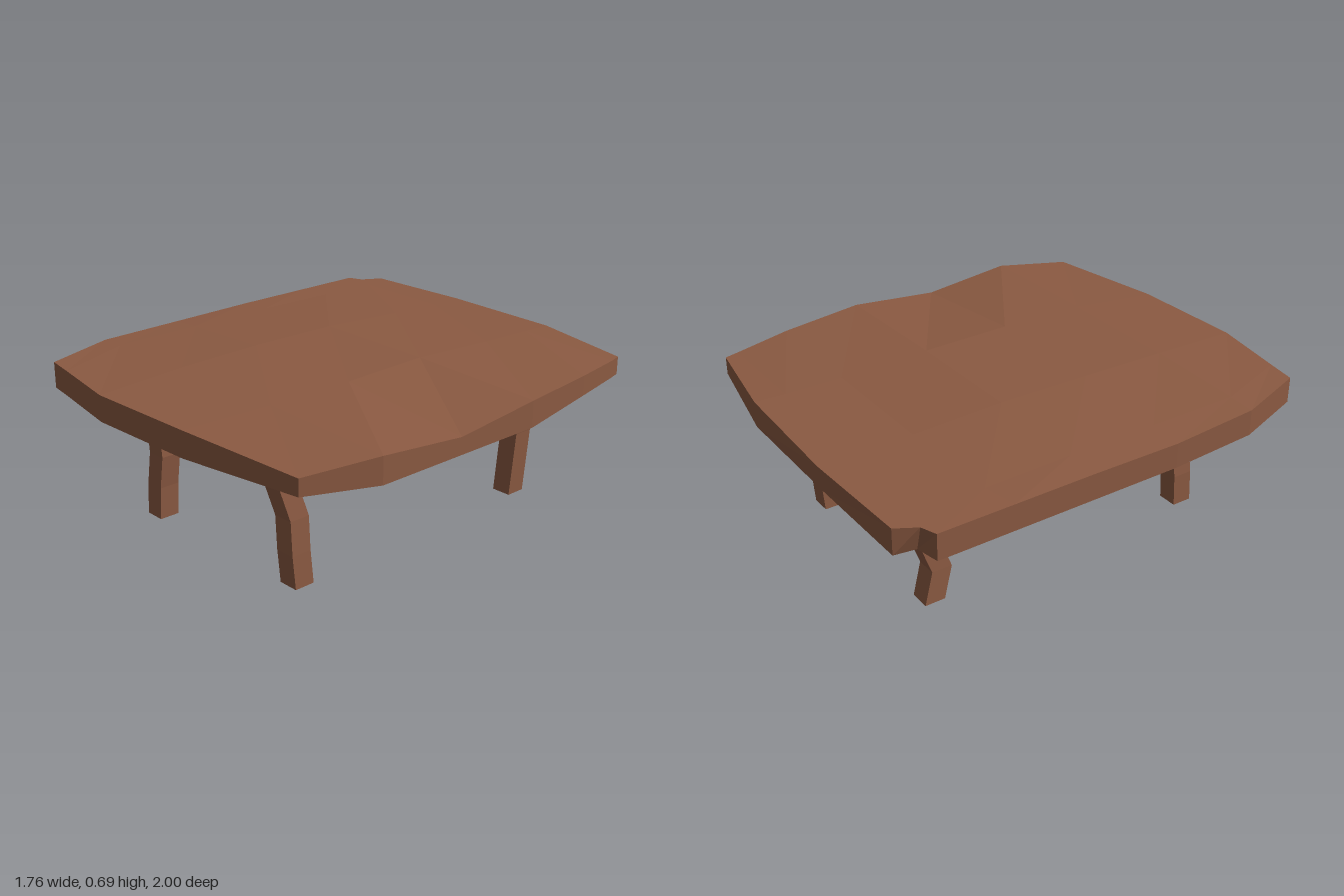
import * as THREE from 'three';

const wood = new THREE.MeshStandardMaterial({ color: 0x8b5a42, flatShading: true });

// Tabletop grid, back row to front row, each point [x, z, top height]
const ROWS = [
  [[-0.82, -0.895, 0.66], [-0.77, -0.98, 0.66], [-0.27, -1.0, 0.66], [0.3, -0.98, 0.66], [0.755, -0.9, 0.645]],
  [[-0.885, -0.87, 0.66], [-0.75, -0.86, 0.66], [-0.28, -0.85, 0.66], [0.29, -0.85, 0.66], [0.77, -0.84, 0.645]],
  [[-0.885, -0.55, 0.66], [-0.74, -0.58, 0.662], [-0.28, -0.6, 0.666], [0.28, -0.6, 0.664], [0.825, -0.58, 0.655]],
  [[-0.885, -0.2, 0.66], [-0.74, -0.2, 0.667], [-0.29, -0.2, 0.685], [0.27, -0.2, 0.68], [0.88, -0.2, 0.66]],
  [[-0.885, 0.2, 0.655], [-0.74, 0.2, 0.665], [-0.3, 0.21, 0.685], [0.28, 0.21, 0.677], [0.88, 0.2, 0.62]],
  [[-0.86, 0.6, 0.66], [-0.74, 0.6, 0.665], [-0.3, 0.6, 0.677], [0.27, 0.6, 0.675], [0.88, 0.6, 0.66]],
  [[-0.75, 0.92, 0.66], [-0.62, 0.94, 0.66], [-0.29, 0.995, 0.66], [0.22, 0.975, 0.66], [0.79, 0.91, 0.638]],
];
const NX = 4, NZ = 6, UNDERSIDE = 0.548;

function tabletop() {
  const pos = [];
  const top = (i, j) => { const [x, z, y] = ROWS[j][i]; return [x, y, z]; };
  const bottom = (i, j) => {
    const [x, z] = ROWS[j][i];
    if (i === 0 && j === 0) return [-0.785, UNDERSIDE, -0.89]; // notch cuts deeper below
    const raised = i === NX && (j <= 2 || j === NZ);
    return [x, raised ? 0.568 : UNDERSIDE, Math.max(z, -0.985)];
  };
  const quad = (a, b, c, d) => pos.push(...a, ...b, ...c, ...a, ...c, ...d);

  // upper and lower faces
  for (let j = 0; j < NZ; j++) {
    for (let i = 0; i < NX; i++) {
      quad(top(i, j), top(i, j + 1), top(i + 1, j + 1), top(i + 1, j));
      quad(bottom(i, j), bottom(i + 1, j), bottom(i + 1, j + 1), bottom(i, j + 1));
    }
  }
  // rim, walking front, +x side, back, -x side
  const rim = [];
  for (let i = 0; i < NX; i++) rim.push([i, NZ]);
  for (let j = NZ; j > 0; j--) rim.push([NX, j]);
  for (let i = NX; i > 0; i--) rim.push([i, 0]);
  for (let j = 0; j < NZ; j++) rim.push([0, j]);
  rim.forEach((p, k) => {
    const q = rim[(k + 1) % rim.length];
    quad(bottom(...p), bottom(...q), top(...q), top(...p));
  });

  const geo = new THREE.BufferGeometry();
  geo.setAttribute('position', new THREE.Float32BufferAttribute(pos, 3));
  geo.computeVertexNormals();
  return geo;
}

// Square post whose cross-sections follow a crooked path of [x, z] centres, floor to top
function leg(centres) {
  const height = 0.57, segments = centres.length - 1;
  const geo = new THREE.BoxGeometry(0.09, height, 0.09, 1, segments, 1);
  geo.translate(0, height / 2, 0);
  const p = geo.attributes.position;
  for (let k = 0; k < p.count; k++) {
    const [x, z] = centres[Math.round((p.getY(k) / height) * segments)];
    p.setX(k, p.getX(k) + x);
    p.setZ(k, p.getZ(k) + z);
  }
  geo.computeVertexNormals();
  return geo;
}

const LEGS = {
  frontLeftLeg: [[0.44, 0.625], [0.435, 0.635], [0.427, 0.635], [0.407, 0.672], [0.415, 0.645]],
  frontRightLeg: [[-0.415, 0.645], [-0.412, 0.64], [-0.395, 0.635], [-0.408, 0.635], [-0.415, 0.64]],
  backLeftLeg: [[0.415, -0.63], [0.42, -0.64], [0.425, -0.65], [0.445, -0.63], [0.415, -0.63]],
  backRightLeg: [[-0.415, -0.63], [-0.41, -0.592], [-0.398, -0.64], [-0.405, -0.63], [-0.415, -0.63]],
};

export function createModel() {
  const table = new THREE.Group();
  table.name = 'table';
  const add = (name, geo) => {
    const mesh = new THREE.Mesh(geo, wood);
    mesh.name = name;
    table.add(mesh);
  };
  add('tabletop', tabletop());
  for (const [name, centres] of Object.entries(LEGS)) add(name, leg(centres));
  return table;
}
